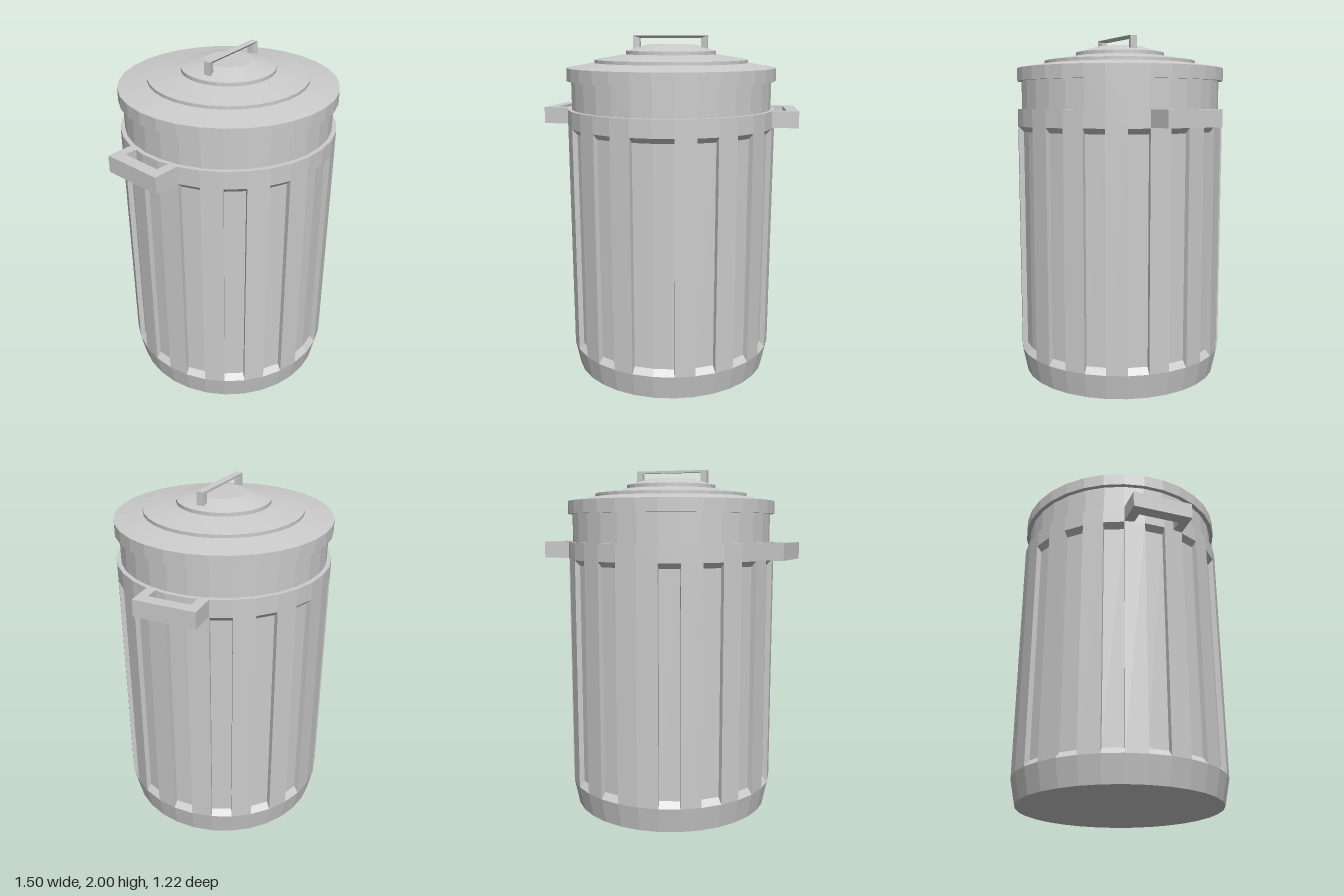
import * as THREE from 'three';

const SIDES = 32;
const R_OUT = 0.61, R_IN = 0.58;
const material = new THREE.MeshStandardMaterial({ color: 0xcccccc, flatShading: true });

function addMesh(parent, name, geometry) {
  const mesh = new THREE.Mesh(geometry, material);
  mesh.name = name;
  parent.add(mesh);
  return mesh;
}

function lathe(profile) {
  return new THREE.LatheGeometry(profile.map(([r, y]) => new THREE.Vector2(r, y)), SIDES);
}

function shapeOf(points) {
  return new THREE.Shape(points.map(([x, y]) => new THREE.Vector2(x, y)));
}

// Ribbed wall: alternate sides are sunk, mirrored left to right, so the
// front has a double-width recess and the back a double-width rib.
function ribbedWall() {
  const positions = [];
  const point = (i, r, y) => {
    const a = (i / SIDES) * Math.PI * 2;
    return [r * Math.sin(a), y, r * Math.cos(a)];
  };
  const quad = (a, b, c, d) => positions.push(...a, ...b, ...c, ...a, ...c, ...d);
  const isRecess = (i) => {
    const k = (i + SIDES) % SIDES;
    return (k < SIDES / 2 ? k : SIDES - 1 - k) % 2 === 0;
  };
  const outer = [0.145, 1.485];
  const inner = [0.18, 1.455];
  const strip = (i, r0, y0, r1, y1) =>
    quad(point(i, r0, y0), point(i + 1, r0, y0), point(i + 1, r1, y1), point(i, r1, y1));

  for (let i = 0; i < SIDES; i++) {
    if (isRecess(i)) {
      strip(i, R_OUT, outer[0], R_IN, inner[0]);
      strip(i, R_IN, inner[0], R_IN, inner[1]);
      strip(i, R_IN, inner[1], R_OUT, outer[1]);
    } else {
      strip(i, R_OUT, outer[0], R_OUT, outer[1]);
    }
    // Side wall where a rib meets a recess
    if (isRecess(i) !== isRecess(i - 1)) {
      const wall = [
        point(i, R_OUT, outer[0]), point(i, R_IN, inner[0]),
        point(i, R_IN, inner[1]), point(i, R_OUT, outer[1]),
      ];
      if (!isRecess(i)) wall.reverse();
      quad(...wall);
    }
  }
  const geometry = new THREE.BufferGeometry();
  geometry.setAttribute('position', new THREE.Float32BufferAttribute(positions, 3));
  geometry.computeVertexNormals();
  return geometry;
}

// Flat U-shaped grip, turned slightly toward the back
function sideHandle(side) {
  const outline = [
    [0.57, -0.176], [0.736, -0.176], [0.736, 0.176], [0.57, 0.176],
    [0.57, 0.12], [0.669, 0.12], [0.669, -0.12], [0.57, -0.12],
  ].map(([x, y]) => [side * x, y]);
  const geometry = new THREE.ExtrudeGeometry(shapeOf(outline), { depth: 0.095, bevelEnabled: false });
  geometry.rotateZ(side * Math.PI / SIDES);
  geometry.rotateX(-Math.PI / 2);
  geometry.translate(0, 1.49, 0);
  return geometry;
}

// Thin bar on two legs, a little deeper at its outer ends
function lidHandle() {
  const outline = [
    [-0.217, 1.915], [-0.18, 1.915], [-0.18, 1.987], [0.18, 1.987],
    [0.18, 1.915], [0.217, 1.915], [0.217, 2], [-0.217, 2],
  ];
  const geometry = new THREE.ExtrudeGeometry(shapeOf(outline), { depth: 0.032, bevelEnabled: false });
  const p = geometry.attributes.position;
  for (let i = 0; i < p.count; i++) {
    if (Math.abs(p.getX(i)) > 0.2 && p.getZ(i) > 0.01) p.setZ(i, 0.042);
  }
  geometry.computeVertexNormals();
  return geometry;
}

export function createModel() {
  const model = new THREE.Group();
  model.name = 'trashCan';

  // Can body
  const body = new THREE.Group();
  body.name = 'body';
  model.add(body);
  addMesh(body, 'base', lathe([[0, 0], [R_IN, 0], [R_OUT, 0.145]]));
  addMesh(body, 'ribbedWall', ribbedWall());
  addMesh(body, 'upperBandAndNeck', lathe([[R_OUT, 1.485], [R_OUT, 1.585], [0.585, 1.585], [0.585, 1.78]]));

  // Stepped lid
  const lid = new THREE.Group();
  lid.name = 'lid';
  model.add(lid);
  addMesh(lid, 'lidCover', lathe([
    [0.57, 1.747], [R_OUT, 1.747], [R_OUT, 1.82],
    [0.447, 1.847], [0.447, 1.865],
    [0.262, 1.895], [0.262, 1.915],
    [0.133, 1.95], [0, 1.95],
  ]));
  addMesh(lid, 'lidHandle', lidHandle());

  // Side grips
  addMesh(model, 'leftHandle', sideHandle(1));
  addMesh(model, 'rightHandle', sideHandle(-1));
  return model;
}
